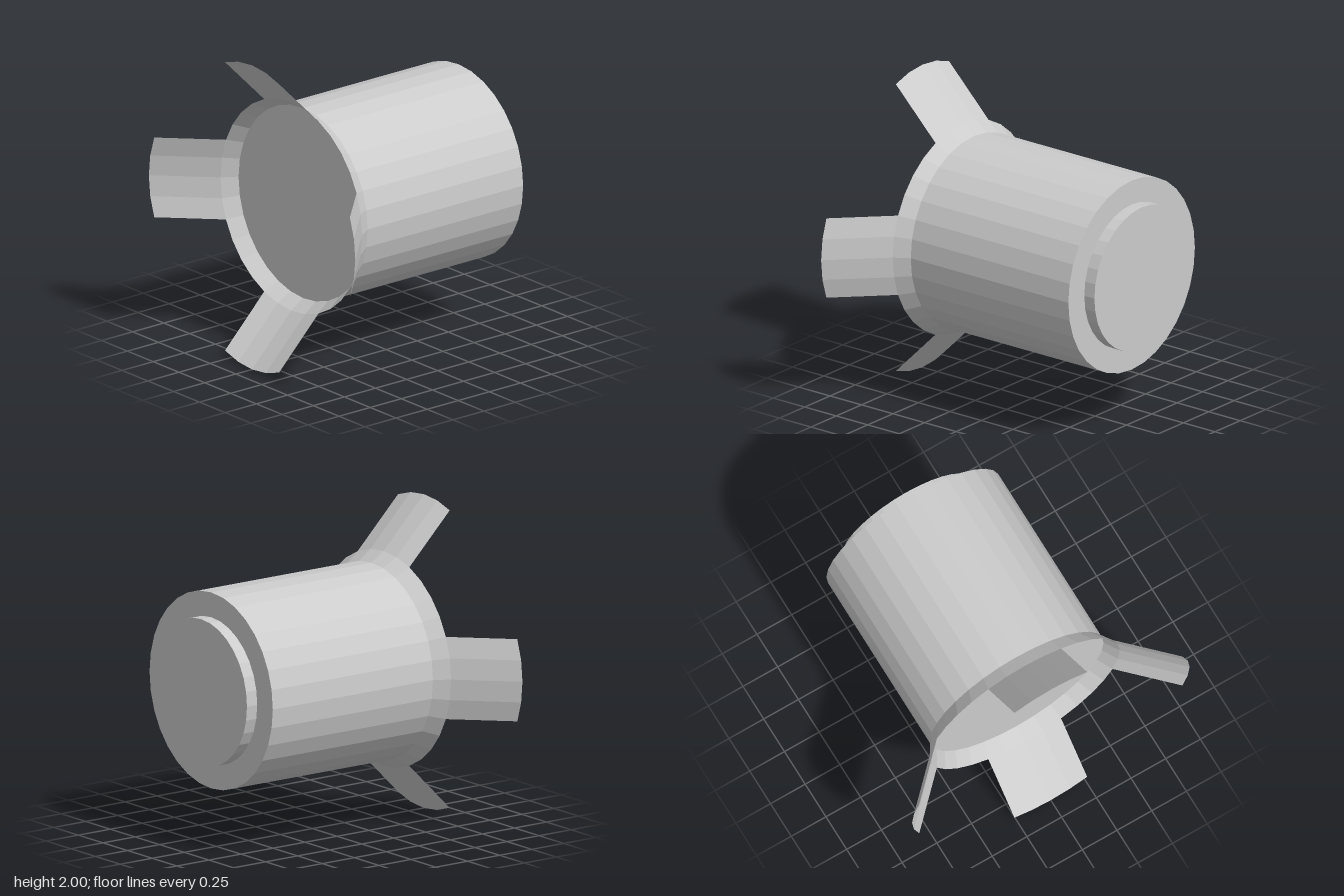
import * as THREE from 'three';

const SIDES = 32, AXIS_Y = 1;
const BODY_R = 0.625, RIM_R = 0.685, REACH = 0.315;
const BACK_Z = -0.79, FRONT_Z = 0.46, RIM_Z = 0.555;

const solid = new THREE.MeshStandardMaterial({ color: 0xcccccc, flatShading: true });
const sheet = new THREE.MeshStandardMaterial({ color: 0xcccccc, flatShading: true, side: THREE.DoubleSide });

// Cylinder or cone along z, from z0 to z1
function drum(name, r0, r1, z0, z1, open = false) {
  const geo = new THREE.CylinderGeometry(r1, r0, z1 - z0, SIDES, 1, open);
  geo.rotateX(Math.PI / 2);
  geo.translate(0, 0, (z0 + z1) / 2);
  const mesh = new THREE.Mesh(geo, open ? sheet : solid);
  mesh.name = name;
  return mesh;
}

// Thin tab swept outward and forward from four facets of the rim
function tabGeometry() {
  const geo = new THREE.PlaneGeometry(1, 1, 4, 1);
  const pos = geo.attributes.position;
  for (let i = 0; i < pos.count; i++) {
    const angle = pos.getX(i) * Math.PI / 4;
    const t = pos.getY(i) + 0.5;
    pos.setXYZ(i, RIM_R * Math.sin(angle), RIM_R * Math.cos(angle) + t * REACH, RIM_Z + t * REACH);
  }
  geo.computeVertexNormals();
  return geo;
}

export function createModel() {
  const model = new THREE.Group();
  model.name = 'flangedCanister';

  const assembly = new THREE.Group();
  assembly.name = 'canister';
  assembly.position.y = AXIS_Y;
  model.add(assembly);

  // Main body, raised back plate and flared front rim
  assembly.add(drum('body', BODY_R, BODY_R, BACK_Z, FRONT_Z));
  assembly.add(drum('backPlate', 0.467, 0.467, -0.87, BACK_Z));
  assembly.add(drum('flaredRim', BODY_R, RIM_R, FRONT_Z, RIM_Z, true));

  // Four splayed tabs around the rim
  const tab = tabGeometry();
  ['topTab', 'leftTab', 'bottomTab', 'rightTab'].forEach((name, i) => {
    const mesh = new THREE.Mesh(tab, sheet);
    mesh.name = name;
    mesh.rotation.z = -i * Math.PI / 2;
    assembly.add(mesh);
  });

  return model;
}
